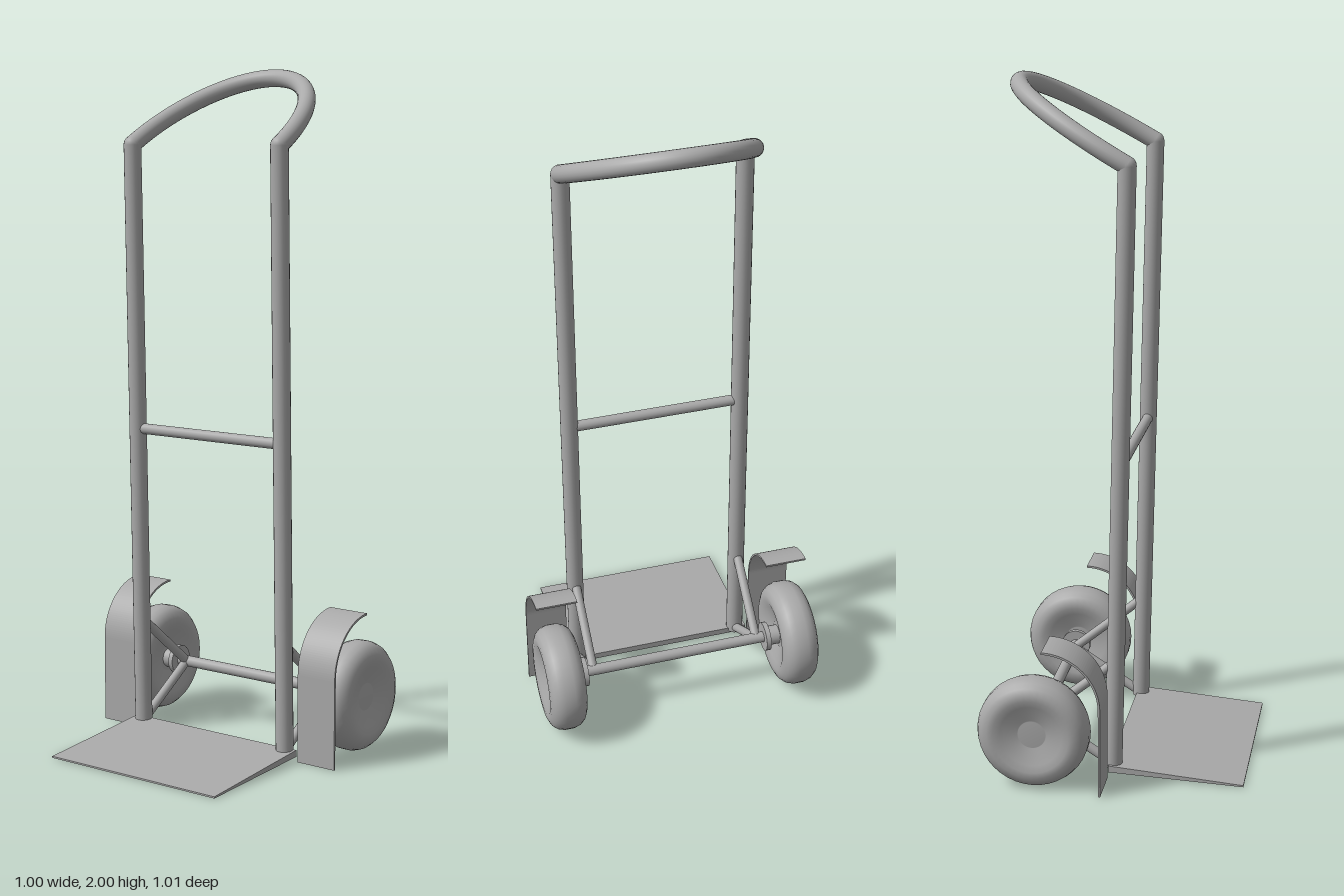
import * as THREE from 'three';

export function createModel() {
  const model = new THREE.Group();
  model.name = 'handTruck';
  const grey = new THREE.MeshStandardMaterial({ color: 0xaaaaaa });
  grey.name = 'grey metal';

  // The truck is built square, then turned on its base
  const truck = new THREE.Group();
  truck.name = 'truck';
  truck.rotation.y = THREE.MathUtils.degToRad(-32.3);
  truck.position.set(-0.023, 0, -0.014);
  model.add(truck);

  const add = (name, geometry, x = 0, y = 0, z = 0) => {
    const mesh = new THREE.Mesh(geometry, grey);
    mesh.name = name;
    mesh.position.set(x, y, z);
    truck.add(mesh);
    return mesh;
  };
  const rod = (name, a, b, radius, sides = 20) => {
    const from = new THREE.Vector3(...a), to = new THREE.Vector3(...b);
    const dir = to.clone().sub(from);
    const mesh = add(name, new THREE.CylinderGeometry(radius, radius, dir.length(), sides));
    mesh.position.copy(from).add(to).multiplyScalar(0.5);
    mesh.quaternion.setFromUnitVectors(new THREE.Vector3(0, 1, 0), dir.normalize());
  };
  // Side profile in (z, y) extruded along x, centred on x
  const slab = (name, shape, width, x) => {
    const g = new THREE.ExtrudeGeometry(shape, { depth: width, bevelEnabled: false, curveSegments: 20 });
    g.translate(0, 0, -width / 2);
    g.rotateY(-Math.PI / 2);
    add(name, g, x);
  };

  const railX = 0.264, topY = 1.78, topZ = 0.08, axleY = 0.168, axleZ = -0.171;
  const railZ = y => 0.042 + (topZ - 0.042) * (y / topY);

  // Toe plate, a thin sheet rising to the rear
  slab('toePlate', new THREE.Shape([
    [0.427, 0], [0.427, 0.005], [0.032, 0.036], [0.032, 0.016],
  ].map(p => new THREE.Vector2(...p))), 0.596, 0);

  // Handle: half ellipse sloping up and back
  class HandleCurve extends THREE.Curve {
    getPoint(t, target = new THREE.Vector3()) {
      const a = Math.PI * t, s = Math.sin(a);
      return target.set(-railX * Math.cos(a), topY + 0.195 * s, topZ - 0.345 * s);
    }
  }
  add('handle', new THREE.TubeGeometry(new HandleCurve(), 64, 0.026, 20));

  // Cross bar and axle
  rod('crossBar', [-railX, 0.937, railZ(0.937)], [railX, 0.937, railZ(0.937)], 0.016);
  rod('axle', [-0.33, axleY, axleZ], [0.33, axleY, axleZ], 0.017);

  // Wheel cross-section: radius, then distance along the axle
  const wheelProfile = [
    [0, -0.036], [0.04, -0.036], [0.042, -0.034], [0.09, -0.05], [0.11, -0.057],
    [0.128, -0.056], [0.145, -0.048], [0.157, -0.034], [0.163, -0.015],
    [0.163, 0.015], [0.157, 0.034], [0.145, 0.048], [0.128, 0.056], [0.11, 0.057],
    [0.09, 0.05], [0.042, 0.034], [0.04, 0.036], [0, 0.036],
  ].map(p => new THREE.Vector2(...p));

  // Fender: upright sheet curling back over the wheel
  const fender = new THREE.Shape();
  fender.moveTo(0.031, 0);
  fender.lineTo(0.031, 0.262);
  fender.absarc(-0.137, 0.262, 0.168, 0, Math.PI / 2, false);
  fender.lineTo(-0.137, 0.424);
  fender.absarc(-0.137, 0.262, 0.162, Math.PI / 2, 0, true);
  fender.lineTo(0.025, 0);

  for (const [side, s] of [['left', 1], ['right', -1]]) {
    const x = s * railX;
    rod(side + 'Rail', [x, 0.025, railZ(0.025)], [x, topY, topZ], 0.026);
    add(side + 'HandleJoint', new THREE.SphereGeometry(0.026, 20, 12), x, topY, topZ);

    // Struts from the axle to the rail
    rod(side + 'UpperStrut', [x, axleY, axleZ], [x, 0.35, railZ(0.35)], 0.014);
    rod(side + 'LowerStrut', [x, axleY, axleZ], [x, 0.03, railZ(0.03)], 0.014);

    // Wheel and its inner washer
    const wheel = add(side + 'Wheel', new THREE.LatheGeometry(wheelProfile, 40), s * 0.371, axleY, axleZ);
    wheel.rotation.z = -Math.PI / 2;
    rod(side + 'HubWasher', [s * 0.287, axleY, axleZ], [s * 0.302, axleY, axleZ], 0.045, 24);
    rod(side + 'HubSpacer', [s * 0.3, axleY, axleZ], [s * 0.345, axleY, axleZ], 0.03, 24);

    slab(side + 'Fender', fender, 0.128, s * 0.365);
  }
  return model;
}
